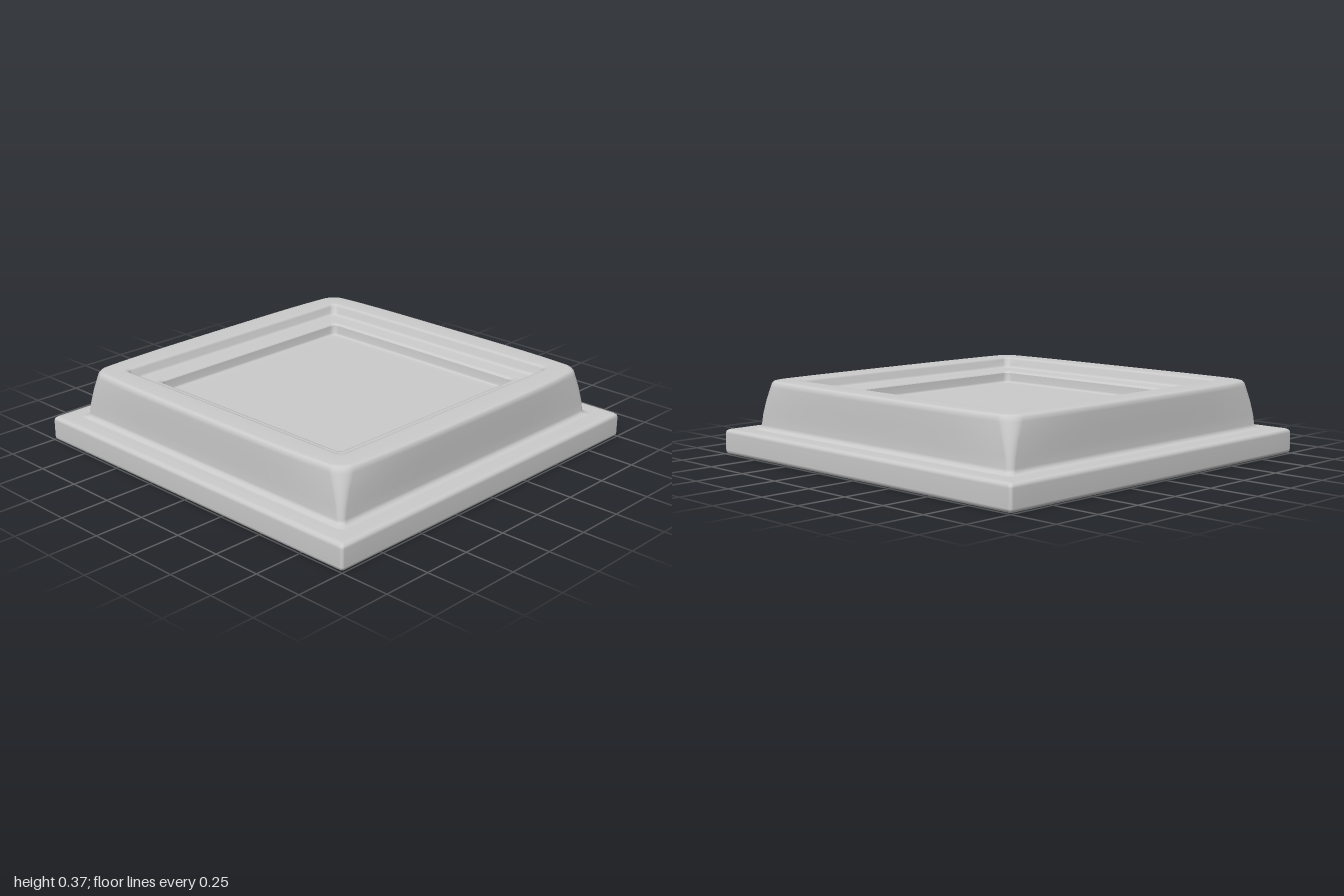
import * as THREE from 'three';

const ARC = 6, SIDE = 12;

// Rounded-square loop, counter-clockwise from above; pinch draws the sides in towards the corners
function ring(half, y, radius, pinch) {
  const pts = [];
  const inner = half - radius;
  const add = (x, z, c, s) => {
    const px = half ? x * (1 - pinch * Math.abs(z / half) ** 4) : 0;
    const pz = half ? z * (1 - pinch * Math.abs(x / half) ** 4) : 0;
    pts.push(px * c + pz * s, y, -px * s + pz * c);
  };
  for (let k = 0; k < 4; k++) {
    const c = Math.round(Math.cos(k * Math.PI / 2)), s = Math.round(Math.sin(k * Math.PI / 2));
    // straight side, running from +z to -z on the +x side
    for (let i = 0; i < SIDE; i++) add(half, inner * (1 - 2 * i / SIDE), c, s);
    // corner arc
    for (let i = 0; i < ARC; i++) {
      const a = i / ARC * Math.PI / 2;
      add(inner + radius * Math.cos(a), -inner - radius * Math.sin(a), c, s);
    }
  }
  return pts;
}

// Skin over a stack of square loops, with shared vertices for smooth shading
function loft(sections) {
  const n = 4 * (ARC + SIDE), positions = [], index = [];
  sections.forEach(([half, y, radius, pinch = 0]) => positions.push(...ring(half, y, radius, pinch)));
  for (let i = 0; i < sections.length - 1; i++) {
    for (let j = 0; j < n; j++) {
      const a = i * n + j, b = i * n + (j + 1) % n;
      index.push(a, b, b + n, a, b + n, a + n);
    }
  }
  const geo = new THREE.BufferGeometry();
  geo.setAttribute('position', new THREE.Float32BufferAttribute(positions, 3));
  geo.setIndex(index);
  geo.computeVertexNormals();
  return geo;
}

export function createModel() {
  const group = new THREE.Group();
  group.name = 'squareTray';
  const material = new THREE.MeshStandardMaterial({ color: 0xcccccc });
  const part = (name, sections) => {
    const mesh = new THREE.Mesh(loft(sections), material);
    mesh.name = name;
    group.add(mesh);
  };

  // each section: half width, height, corner radius, pinch
  part('basePlate', [
    [0, 0, 0], [0.97, 0, 0.01], [0.99, 0.002, 0.012], [0.998, 0.01, 0.015], [1, 0.02, 0.015],
    [1, 0.105, 0.015], [0.997, 0.117, 0.015], [0.988, 0.124, 0.015], [0.97, 0.126, 0.015], [0.905, 0.126, 0.03],
  ]);

  part('raisedFrame', [
    // fillet and outer wall
    [0.905, 0.126, 0.03], [0.89, 0.129, 0.03], [0.88, 0.137, 0.03], [0.876, 0.15, 0.03],
    [0.875, 0.2, 0.035, 0.003], [0.874, 0.27, 0.05, 0.012], [0.873, 0.34, 0.07, 0.025],
    // rounded rim
    [0.87, 0.357, 0.07, 0.027], [0.862, 0.367, 0.07, 0.027], [0.845, 0.371, 0.07, 0.022],
    [0.75, 0.371, 0.04], [0.737, 0.367, 0.035], [0.73, 0.358, 0.03],
    // step down to the ledge
    [0.722, 0.328, 0.03], [0.714, 0.318, 0.03], [0.7, 0.314, 0.03],
    [0.635, 0.312, 0.03], [0.622, 0.309, 0.03], [0.616, 0.301, 0.03],
  ]);

  part('recessedPanel', [
    [0.616, 0.301, 0.03], [0.612, 0.262, 0.03], [0.607, 0.253, 0.03], [0.595, 0.25, 0.03],
    [0.56, 0.25, 0.03], [0, 0.25, 0],
  ]);

  return group;
}
